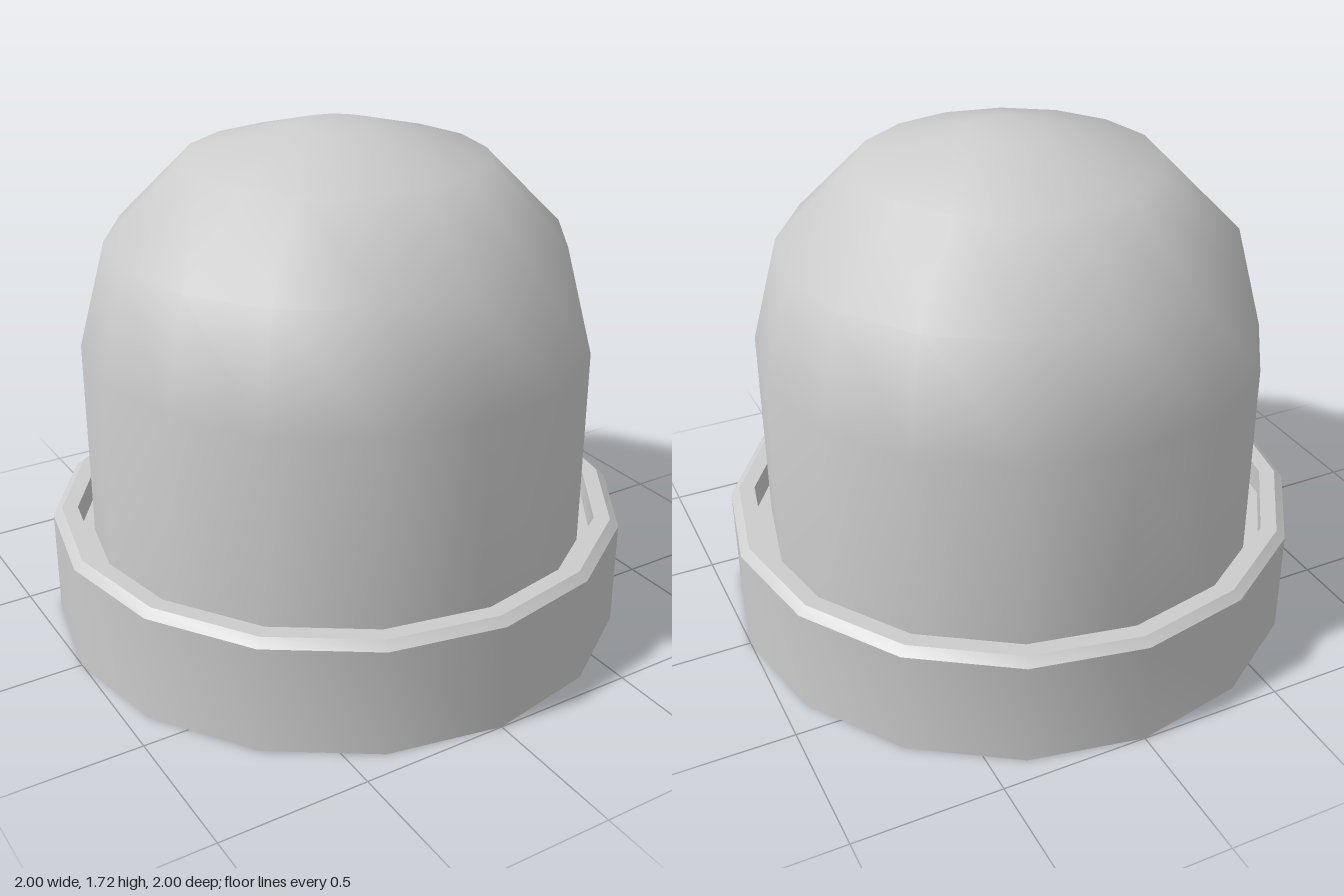
import * as THREE from 'three';
import { toCreasedNormals } from 'three/addons/utils/BufferGeometryUtils.js';

const SIDES = 16;

function lathe(name, profile) {
  const points = profile.map(([r, y]) => new THREE.Vector2(r, y));
  const material = new THREE.MeshStandardMaterial({ color: 0xcccccc, side: THREE.DoubleSide });
  const mesh = new THREE.Mesh(new THREE.LatheGeometry(points, SIDES), material);
  mesh.name = name;
  return mesh;
}

export function createModel() {
  const group = new THREE.Group();
  group.name = 'domedCap';

  // Base collar: open shell with a chamfered rim and a sunken ledge meeting the dome
  const collar = lathe('baseCollar', [
    [1, 0], [1, 0.37], [0.97, 0.395], [0.915, 0.395], [0.915, 0.3], [0.862, 0.3],
  ]);
  collar.geometry = toCreasedNormals(collar.geometry, THREE.MathUtils.degToRad(35));
  group.add(collar);

  // Dome: straight wall, then a three-step rounded shoulder up to a small flat top
  const radius = 0.862, shoulder = 0.72, wallTop = 1;
  const profile = [[radius, 0.3]];
  for (let i = 0; i <= 3; i++) {
    const a = (i * Math.PI) / 6;
    profile.push([radius - shoulder + shoulder * Math.cos(a), wallTop + shoulder * Math.sin(a)]);
  }
  profile.push([0, wallTop + shoulder]);
  group.add(lathe('dome', profile));

  return group;
}
